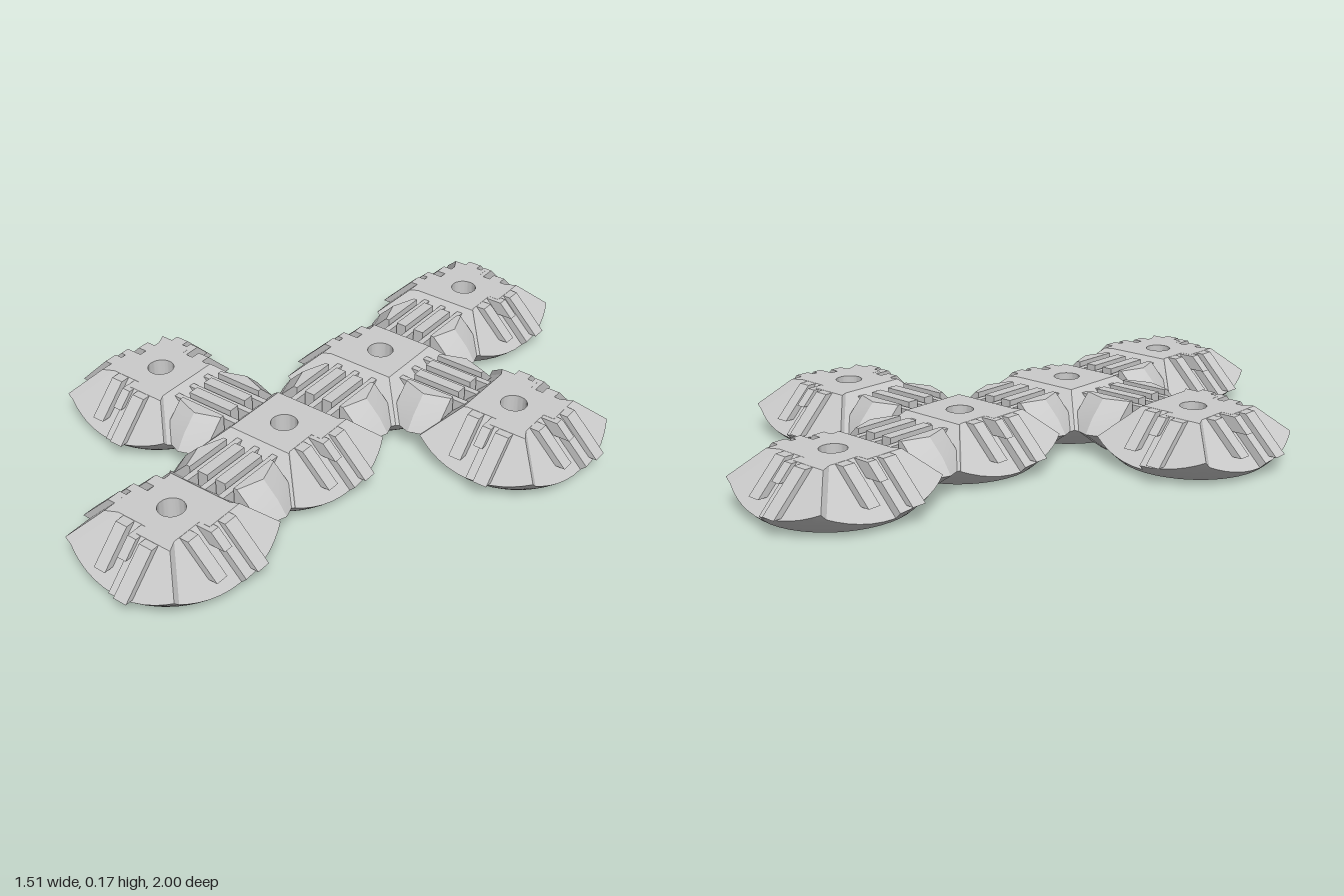
import * as THREE from 'three';
import { toCreasedNormals } from 'three/addons/utils/BufferGeometryUtils.js';

const TOP = 0.165, BASE = 0.012;        // tile top and flat underside
const CENTRE = 0.29, RADIUS = 0.355;    // sphere that rounds the tiles
const RAISED = 0.3, RECESSED = 0.265, HINGED = 0.275; // 45 degree wall offsets
const PITCH = 0.485;
const material = new THREE.MeshStandardMaterial({ color: 0xcccccc });

function addMesh(parent, geometry, name) {
  const mesh = new THREE.Mesh(geometry, material);
  mesh.name = name;
  parent.add(mesh);
  return mesh;
}

// Tile body: stacked loops around the axis, walls clipped by the sphere.
// Sides run 0 = +x, 1 = +z, 2 = -x, 3 = -z.
function tileBody(hinged) {
  const N = 6, columns = [];
  for (let q = 0; q < 4; q++) {
    const wall = (s, free) => (hinged.includes(s % 4) ? HINGED : free);
    const left = wall(q, RAISED), right = wall(q, RECESSED), prev = wall(q + 3, RECESSED);
    for (let i = 0; i <= N; i++) columns.push({ q, f: i / N - 1, U: (prev + left) / 2, D: left });
    for (let i = 0; i <= N; i++) columns.push({ q, f: i / N, U: right, D: right });
  }
  const at = (c, y) => {
    const a = c.q * Math.PI / 2, n = c.D - y, u = c.f * (c.U - y);
    return new THREE.Vector3(n * Math.cos(a) - u * Math.sin(a), y, n * Math.sin(a) + u * Math.cos(a));
  };
  const loops = columns.map((c) => {
    const top = at(c, TOP);
    const len = Math.hypot(top.x, top.z), side = Math.max(Math.abs(top.x), Math.abs(top.z));
    const ring = (r, y) => new THREE.Vector3(top.x / len * r, y, top.z / len * r);
    const square = (h, y) => new THREE.Vector3(top.x / side * h, y, top.z / side * h);
    // find the height where the wall meets the sphere
    let lo = BASE, hi = TOP;
    for (let i = 0; i < 30; i++) {
      const y = (lo + hi) / 2, p = at(c, y);
      if (Math.hypot(p.x, p.z, CENTRE - y) > RADIUS) lo = y; else hi = y;
    }
    const rim = at(c, hi), dir = Math.hypot(rim.x, rim.z);
    const pts = [ring(0.04, TOP), top, rim];
    for (let k = 1; k <= 5; k++) {
      const y = THREE.MathUtils.lerp(hi, BASE, k / 5);
      const r = Math.sqrt(RADIUS ** 2 - (CENTRE - y) ** 2);
      pts.push(new THREE.Vector3(rim.x / dir * r, y, rim.z / dir * r));
    }
    // square sunk pocket underneath, then the through hole
    pts.push(square(0.15, BASE), square(0.105, 0.045), ring(0.04, 0.045), ring(0.04, TOP));
    return pts;
  });
  const pos = [];
  loops.forEach((p, i) => {
    const q = loops[(i + 1) % loops.length];
    for (let r = 0; r < p.length - 1; r++) {
      for (const [a, b, c] of [[p[r], q[r], q[r + 1]], [p[r], q[r + 1], p[r + 1]]]) {
        const area = b.clone().sub(a).cross(c.clone().sub(a)).length();
        if (area > 1e-9) for (const v of [a, b, c]) pos.push(v.x, v.y, v.z);
      }
    }
  });
  const g = new THREE.BufferGeometry();
  g.setAttribute('position', new THREE.Float32BufferAttribute(pos, 3));
  return toCreasedNormals(g, 0.35);
}

// Sloping rib on a free wall, u is its place along the wall
function rib(u, width, offset, low) {
  const t = TOP - 0.0005;
  const shape = new THREE.Shape([
    [0.08, t], [offset - t, t], [offset - low, low], [offset - low - 0.07, low],
  ].map(([x, y]) => new THREE.Vector2(x, y)));
  const g = new THREE.ExtrudeGeometry(shape, { depth: width, bevelEnabled: false });
  return g.translate(0, 0, u - width / 2);
}

function tile(hinged) {
  const group = new THREE.Group();
  group.name = 'tile';
  addMesh(group, tileBody(hinged), 'tileBody');
  for (let q = 0; q < 4; q++) {
    if (hinged.includes(q)) continue;
    const side = new THREE.Group();
    side.name = 'latchSide';
    side.rotation.y = -q * Math.PI / 2;
    addMesh(side, rib(-0.055, 0.045, 0.325, 0.055), 'longLatch');
    addMesh(side, rib(0.0, 0.03, 0.318, 0.12), 'middleLatch');
    addMesh(side, rib(0.06, 0.04, 0.295, 0.07), 'shortLatch');
    group.add(side);
  }
  return group;
}

// Hinge slice from start to end along z; without an end it closes in a ridged slope
const SECTION = [[0.08, 0.165], [0.08, 0.115], [0.058, 0.07], [0.052, 0.035], [0.035, 0.01], [0.012, 0]];
function hingeSlice(start, end) {
  const g = new THREE.BoxGeometry(2, 5, 1, 2, 5, 1), p = g.attributes.position;
  for (let i = 0; i < p.count; i++) {
    const [half, y] = SECTION[Math.round(2.5 - p.getY(i))];
    const x = p.getX(i) * half;
    const slope = y < 0.07 ? 0.2 - (0.07 - y) * 1.4 : Math.min(0.2, 0.12 + (TOP - y));
    const far = end ?? slope - Math.abs(x) * 0.35;
    p.setXYZ(i, x, y, p.getZ(i) > 0 ? far : start);
  }
  return toCreasedNormals(g, 0.4);
}

function hinge() {
  const group = new THREE.Group();
  group.name = 'hinge';
  for (const turn of [0, Math.PI]) {
    addMesh(group, hingeSlice(0.08), 'hingeEnd').rotation.y = turn;
    addMesh(group, hingeSlice(0.015, 0.05), 'hingeKnuckle').rotation.y = turn;
  }
  const pin = new THREE.CylinderGeometry(0.045, 0.045, 0.22, 20).rotateX(Math.PI / 2);
  addMesh(group, pin, 'hingePin').position.y = 0.05;
  for (const z of [-0.065, 0, 0.065]) {
    const arm = new THREE.BoxGeometry(0.25, 0.045, 0.019);
    addMesh(group, arm, 'hingeArm').position.set(0, 0.128, z);
  }
  return group;
}

export function createModel() {
  const model = new THREE.Group();
  model.name = 'foldingTileNet';
  // column and row in half pitches, with the hinged sides
  const tiles = [
    [0, -3, [1]], [0, -1, [0, 1, 3]], [0, 1, [1, 2, 3]], [0, 3, [3]],
    [2, -1, [2]], [-2, 1, [0]],
  ];
  for (const [x, z, hinged] of tiles) {
    const t = tile(hinged);
    t.position.set(x * PITCH / 2, 0, z * PITCH / 2);
    model.add(t);
  }
  const hinges = [[0, -2, true], [0, 0, true], [0, 2, true], [1, -1, false], [-1, 1, false]];
  for (const [x, z, across] of hinges) {
    const h = hinge();
    h.position.set(x * PITCH / 2, 0, z * PITCH / 2);
    if (across) h.rotation.y = Math.PI / 2;
    model.add(h);
  }
  return model;
}
